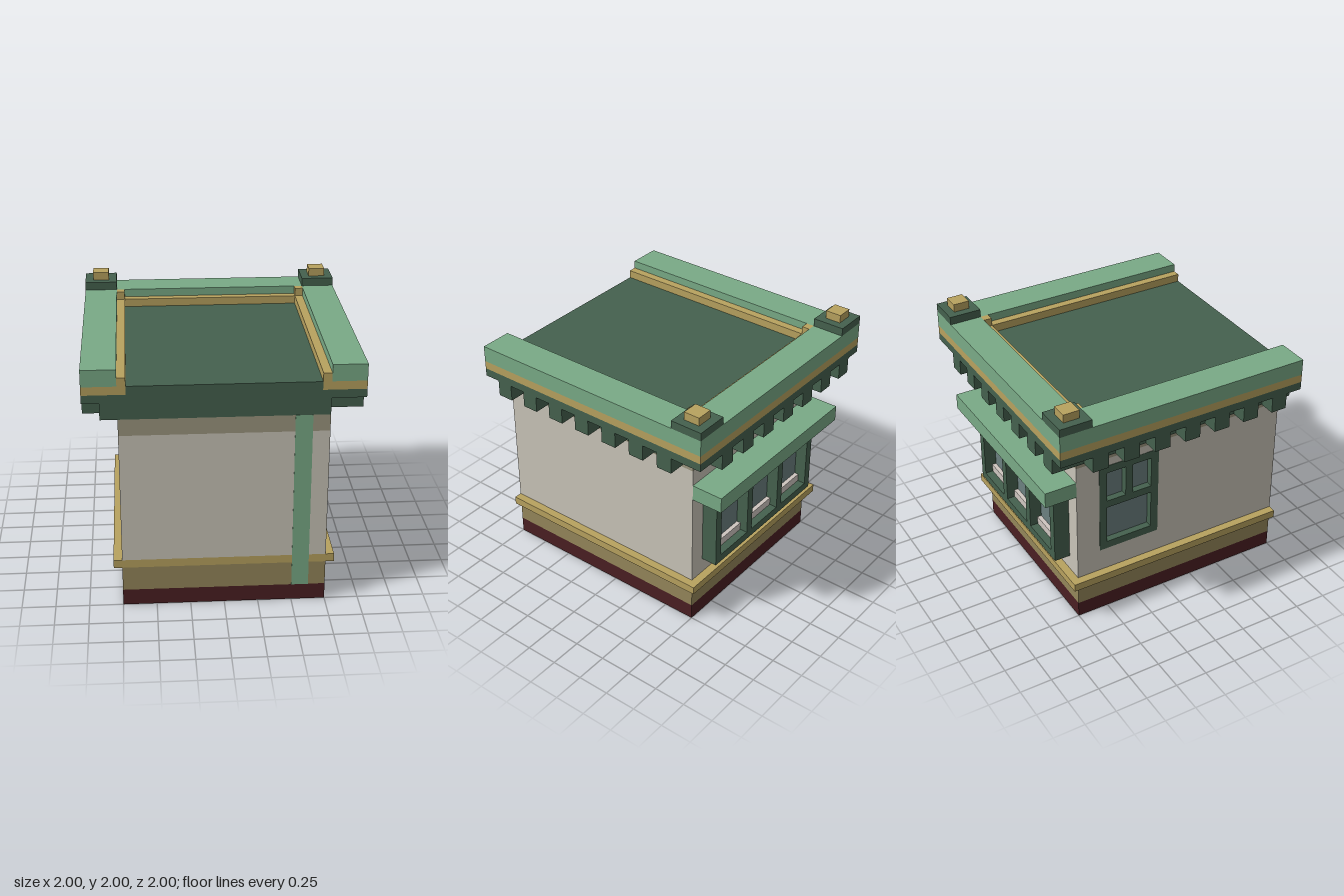
import * as THREE from 'three';

const mat = (name, color) => {
  const m = new THREE.MeshStandardMaterial({ color });
  m.name = name;
  return m;
};

export function createModel() {
  const plaster = mat('plaster', 0xc9c4b8);
  const paleGreen = mat('pale green', 0x79aa86);
  const darkGreen = mat('dark green', 0x45614e);
  const gold = mat('gold', 0xb8a25f);
  const olive = mat('olive', 0x94865a);
  const greyOlive = mat('grey olive', 0x9c967f);
  const darkRed = mat('dark red', 0x4a1f22);
  const glass = mat('glass', 0x6b7f7f);
  const sash = mat('sash', 0xcfc6c0);

  const model = new THREE.Group();
  model.name = 'building';
  const group = (name) => {
    const g = new THREE.Group();
    g.name = name;
    model.add(g);
    return g;
  };
  // Box given by its lower and upper bounds on each axis
  const box = (parent, name, m, x0, x1, y0, y1, z0, z1) => {
    const mesh = new THREE.Mesh(new THREE.BoxGeometry(x1 - x0, y1 - y0, z1 - z0), m);
    mesh.position.set((x0 + x1) / 2, (y0 + y1) / 2, (z0 + z1) / 2);
    mesh.name = name;
    parent.add(mesh);
    return mesh;
  };

  // Plinth and walls
  const walls = group('walls');
  box(walls, 'plinth', darkRed, -0.75, 0.75, 0, 0.125, -0.75, 1);
  box(walls, 'lowerWall', olive, -0.75, 0.75, 0.125, 0.3125, -0.75, 1);
  box(walls, 'beltCourse', gold, -0.8125, 0.8125, 0.3125, 0.375, -0.8125, 1);
  box(walls, 'mainWall', plaster, -0.69, 0.75, 0.375, 1.375, -0.75, 1);
  box(walls, 'wallFrieze', greyOlive, -0.75, 0.75, 1.375, 1.5, -0.75, 1);
  box(walls, 'frontStripe', paleGreen, 0.5, 0.625, 0.125, 1.5, 0.996, 1.003);

  // Outer skin of the side wall, pierced for the recessed window
  const W = { z0: -0.5625, z1: -0.0625, y0: 0.5625, y1: 1.3125 };
  const rect = (P, a0, a1, b0, b1) => {
    const p = new P();
    p.moveTo(a0, b0).lineTo(a1, b0).lineTo(a1, b1).lineTo(a0, b1).closePath();
    return p;
  };
  const skin = rect(THREE.Shape, -0.75, 1, 0.375, 1.375);
  skin.holes.push(rect(THREE.Path, W.z0, W.z1, W.y0, W.y1));
  const skinMesh = new THREE.Mesh(new THREE.ExtrudeGeometry(skin, { depth: 0.06, bevelEnabled: false }), plaster);
  skinMesh.rotation.y = -Math.PI / 2;
  skinMesh.position.x = -0.69;
  skinMesh.name = 'sideWallSkin';
  walls.add(skinMesh);

  // Side window: one lower pane, two upper panes
  const side = group('sideWindow');
  const sideBar = (name, y0, y1, z0, z1) => box(side, name, darkGreen, -0.753, -0.69, y0, y1, z0, z1);
  const t = 0.0625, mid = (W.z0 + W.z1) / 2;
  box(side, 'sidePane', glass, -0.7, -0.688, W.y0, W.y1, W.z0, W.z1);
  sideBar('sideJamb', W.y0, W.y1, W.z0, W.z0 + t);
  sideBar('sideJamb', W.y0, W.y1, W.z1 - t, W.z1);
  sideBar('sideSill', W.y0, W.y0 + t, W.z0 + t, W.z1 - t);
  sideBar('sideHead', W.y1 - t, W.y1, W.z0 + t, W.z1 - t);
  sideBar('sideTransom', 0.94, 1.0, W.z0 + t, W.z1 - t);
  sideBar('sideMullion', 1.0, W.y1 - t, mid - 0.03, mid + 0.03);

  // Back bay window with three panes under a hood
  const bay = group('backWindow');
  box(bay, 'windowHood', paleGreen, -0.75, 0.75, 1.125, 1.25, -1, -0.75);
  box(bay, 'bayPane', glass, -0.6, 0.6, 0.55, 1.0, -0.78, -0.74);
  box(bay, 'baySill', darkGreen, -0.625, 0.625, 0.5, 0.5625, -0.875, -0.75);
  box(bay, 'bayHead', darkGreen, -0.5625, 0.5625, 0.9375, 1.0625, -0.86, -0.75);
  const pitch = (1.25 - t) / 3;
  for (let i = 0; i < 4; i++) {
    const x = -0.625 + i * pitch, outer = i === 0 || i === 3;
    box(bay, 'bayPost', darkGreen, x, x + t, 0.5625, outer ? 1.125 : 1.0, -0.875, -0.75);
    if (i === 3) break;
    box(bay, 'lowerSash', sash, x + t, x + pitch, 0.5625, 0.625, -0.8125, -0.75);
    box(bay, 'upperSash', sash, x + t, x + pitch, 0.89, 0.9375, -0.8125, -0.75);
  }

  // Cornice core with a stepped backing on three sides
  const cornice = group('cornice');
  box(cornice, 'corniceCore', darkGreen, -0.75, 0.75, 1.5, 1.625, -0.75, 1);
  box(cornice, 'leftBacking', darkGreen, -0.875, -0.75, 1.5, 1.625, -0.875, 1);
  box(cornice, 'rightBacking', darkGreen, 0.75, 0.875, 1.5, 1.625, -0.75, 0.875);
  box(cornice, 'backBacking', darkGreen, -0.75, 0.75, 1.5, 1.625, -0.875, -0.75);
  box(cornice, 'fascia', darkGreen, -1, 1, 1.625, 1.6875, -1, 1);

  // Dentils along both sides and the back
  for (let i = 0; i < 7; i++) {
    const a = -0.75 + i * 0.25, b = -0.875 + i * 0.25;
    box(cornice, 'rightDentil', darkGreen, 0.875, 1, 1.5, 1.625, a, a + 0.125);
    box(cornice, 'leftDentil', darkGreen, -1, -0.875, 1.5, 1.625, a, a + 0.125);
    box(cornice, 'backDentil', darkGreen, b, b + 0.125, 1.5, 1.625, -1, -0.875);
  }

  // Roof deck, gold trim and parapet
  const roof = group('roof');
  box(roof, 'roofDeck', darkGreen, -0.6875, 0.6875, 1.6875, 1.75, -0.6875, 1);
  box(roof, 'backGoldBand', gold, -1, 1, 1.6875, 1.75, -1, -0.6875);
  box(roof, 'backParapet', paleGreen, -0.75, 0.75, 1.75, 1.875, -1, -0.75);
  box(roof, 'backInnerTrim', gold, -0.6875, 0.6875, 1.75, 1.8125, -0.75, -0.6875);
  for (const s of [-1, 1]) {
    const sided = (name, m, a, b, ...rest) => box(roof, name, m, Math.min(s * a, s * b), Math.max(s * a, s * b), ...rest);
    sided('sideGoldBand', gold, 0.6875, 1, 1.6875, 1.75, -0.6875, 1);
    sided('sideParapet', paleGreen, 0.75, 1, 1.75, 1.875, -1, 1);
    sided('sideInnerTrim', gold, 0.6875, 0.75, 1.75, 1.8125, -0.6875, 1);
    sided('innerCornerPost', gold, 0.6875, 0.75, 1.75, 1.875, -0.75, -0.6875);
    // Corner caps
    sided('cornerCap', darkGreen, 0.75, 1, 1.875, 1.9375, -1, -0.75);
    sided('cornerFinial', gold, 0.8125, 0.9375, 1.9375, 2, -0.9375, -0.8125);
  }
  return model;
}
